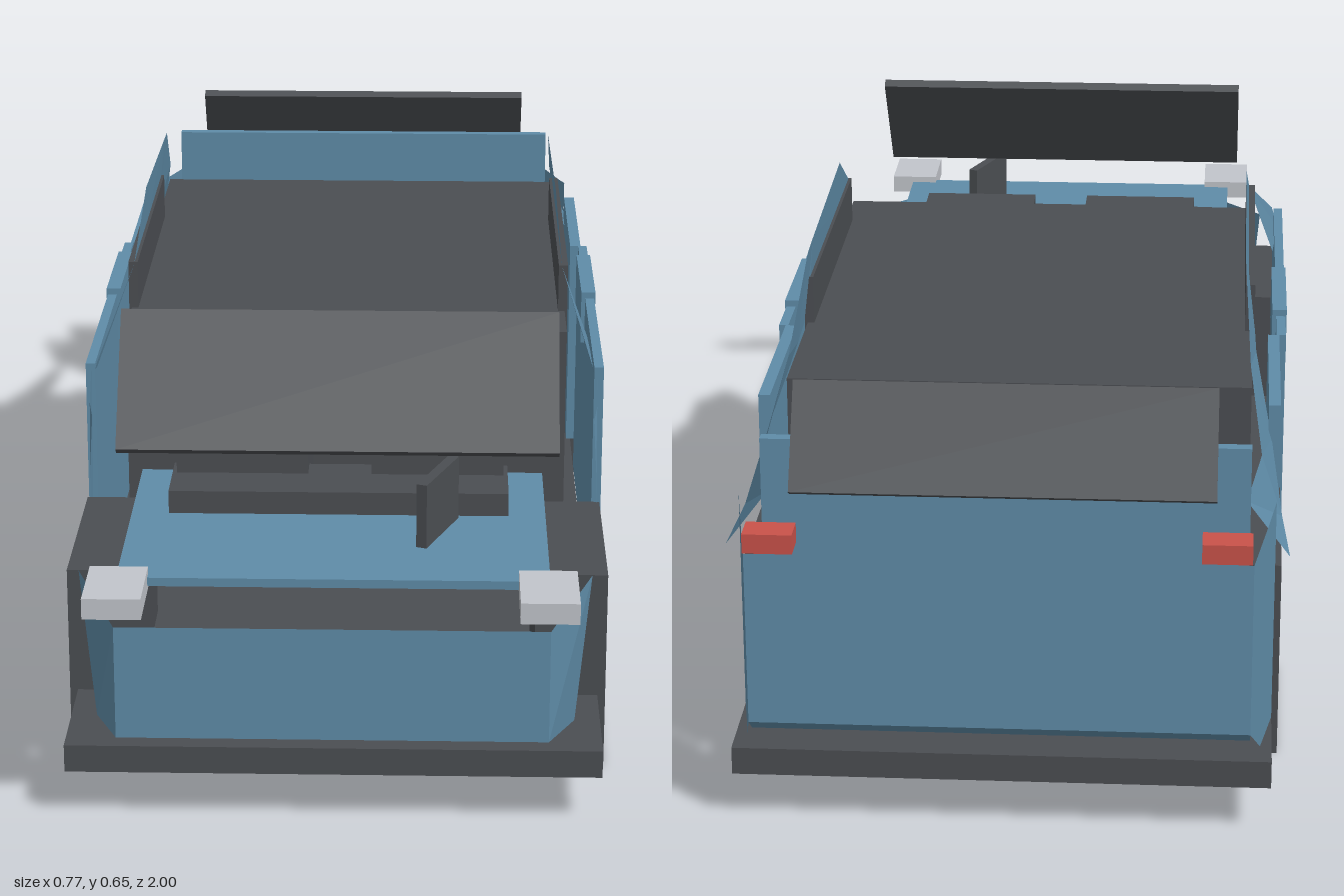
import * as THREE from 'three';

const mat = (name, color, side = THREE.FrontSide) => {
  const m = new THREE.MeshStandardMaterial({ color, side });
  m.name = name;
  return m;
};

export function createModel() {
  const car = new THREE.Group();
  car.name = 'car';
  const dark = mat('darkGrey', 0x4b4e52);
  const blue = mat('bodyBlue', 0x5f8ca8, THREE.DoubleSide);
  const pale = mat('lampGrey', 0xc2c5cb);
  const red = mat('lampRed', 0xc9524a);

  const add = (name, geometry, material) => {
    const mesh = new THREE.Mesh(geometry, material);
    mesh.name = name;
    car.add(mesh);
    return mesh;
  };
  // Box from its lower and upper bounds
  const box = (name, material, [x0, x1], [y0, y1], [z0, z1]) => {
    const mesh = add(name, new THREE.BoxGeometry(x1 - x0, y1 - y0, z1 - z0), material);
    mesh.position.set((x0 + x1) / 2, (y0 + y1) / 2, (z0 + z1) / 2);
    return mesh;
  };
  // The same box on both sides
  const pair = (name, material, [x0, x1], y, z) => {
    box(name + 'Left', material, [x0, x1], y, z);
    box(name + 'Right', material, [-x1, -x0], y, z);
  };
  // Faceted sheet spanning pairs of [top, bottom] points
  const sheet = (name, stations) => {
    const v = [];
    for (let i = 0; i + 1 < stations.length; i++) {
      const [a, b] = stations[i], [c, d] = stations[i + 1];
      v.push(...a, ...b, ...c, ...c, ...b, ...d);
    }
    const g = new THREE.BufferGeometry();
    g.setAttribute('position', new THREE.Float32BufferAttribute(v, 3));
    g.computeVertexNormals();
    return add(name, g, blue);
  };
  const flip = (stations) => stations.map((s) => s.map(([x, y, z]) => [-x, y, z]));

  // Chassis and cabin
  box('floor', dark, [-0.365, 0.365], [0.07, 0.109], [-0.945, 0.913]);
  box('underTray', dark, [-0.23, 0.23], [0.033, 0.07], [-0.385, 0.415]);
  box('cabin', dark, [-0.33, 0.33], [0.2, 0.5], [-0.56, 0.285]);
  box('dashboard', dark, [-0.195, 0.195], [0.3, 0.407], [0.285, 0.34]);

  // Block wheels
  pair('frontWheel', dark, [0.276, 0.376], [0, 0.29], [0.443, 0.728]);
  pair('rearWheel', dark, [0.276, 0.376], [0, 0.29], [-0.702, -0.416]);

  // Hood and engine blocks
  box('hood', blue, [-0.29, 0.29], [0.338, 0.35], [0.485, 0.9]);
  box('engineBase', dark, [-0.238, 0.238], [0.32, 0.383], [0.545, 0.66]);
  pair('engineBlock', dark, [0.045, 0.232], [0.32, 0.423], [0.39, 0.585]);
  const fin = add('engineFin', new THREE.BoxGeometry(0.015, 0.137, 0.125), dark);
  fin.position.set(0.139, 0.373, 0.724);
  fin.rotation.y = -0.36;

  // Tilted glass panels
  const glass = (name, width, [z0, y0], [z1, y1]) => {
    const dz = z1 - z0, dy = y1 - y0;
    const mesh = add(name, new THREE.BoxGeometry(width, Math.hypot(dz, dy), 0.015), dark);
    mesh.position.set(0, (y0 + y1) / 2, (z0 + z1) / 2);
    mesh.rotation.x = Math.atan2(dz, dy);
  };
  glass('windscreen', 0.612, [0.705, 0.458], [0.58, 0.622]);
  glass('rearWindow', 0.57, [-0.89, 0.461], [-0.812, 0.592]);

  // Front bumper
  const corner = [
    [[0.29, 0.3, 0.952], [0.29, 0.14, 0.952]],
    [[0.35, 0.323, 0.81], [0.33, 0.108, 0.81]],
  ];
  sheet('frontBumper', [...flip(corner).reverse(), ...corner]);

  // Rear bumper, apron and tail panel
  const tail = [
    [[0.335, 0.41, -0.978], [0.335, 0.165, -0.978]],
    [[0.355, 0.422, -0.866], [0.355, 0.086, -0.866]],
    [[0.365, 0.43, -0.808], [0.365, 0.093, -0.808]],
  ];
  sheet('rearBumper', [...flip(tail).reverse(), ...tail]);
  sheet('rearApron', [
    [[-0.335, 0.165, -0.978], [-0.335, 0.143, -0.95]],
    [[0.335, 0.165, -0.978], [0.335, 0.143, -0.95]],
  ]);
  box('tailPanel', blue, [-0.33, 0.33], [0.2, 0.517], [-0.837, -0.82]);

  // Lamps
  pair('headlamp', pale, [0.248, 0.326], [0.331, 0.36], [0.885, 1]);
  pair('tailLamp', red, [0.267, 0.333], [0.42, 0.447], [-1, -0.957]);

  // Doors, quarter panels and side windows
  pair('door', blue, [0.368, 0.382], [0.088, 0.473], [-0.26, 0.37]);
  pair('quarterPanel', blue, [0.355, 0.372], [0.135, 0.473], [-0.557, -0.26]);
  pair('doorSill', blue, [0.362, 0.384], [0.4, 0.483], [-0.175, 0.03]);
  pair('sideWindow', dark, [0.32, 0.334], [0.47, 0.572], [-0.322, 0.18]);

  // Fender edges and roof rails: z, top y, top x, bottom y, bottom x
  const rail = [
    [0.37, 0.475, 0.365, 0.44, 0.375],
    [0.18, 0.57, 0.325, 0.46, 0.365],
    [0.18, 0.57, 0.325, 0.568, 0.325],
    [0.02, 0.646, 0.319, 0.568, 0.325],
    [-0.32, 0.633, 0.319, 0.568, 0.325],
    [-0.32, 0.633, 0.319, 0.5, 0.335],
    [-0.38, 0.63, 0.319, 0.49, 0.337],
    [-0.55, 0.53, 0.328, 0.42, 0.36],
    [-0.69, 0.45, 0.345, 0.36, 0.375],
    [-0.808, 0.43, 0.325, 0.35, 0.385],
  ].map(([z, yt, xt, yb, xb]) => [[xt, yt, z], [xb, yb, z]]);
  const fender = [
    [[0.365, 0.42, 0.455], [0.37, 0.34, 0.455]],
    [[0.37, 0.435, 0.437], [0.375, 0.132, 0.437]],
    [[0.373, 0.475, 0.37], [0.378, 0.132, 0.37]],
  ];
  for (const [side, f] of [['Left', (s) => s], ['Right', flip]]) {
    sheet('roofRail' + side, f(rail));
    sheet('fender' + side, f(fender));
  }
  return car;
}
